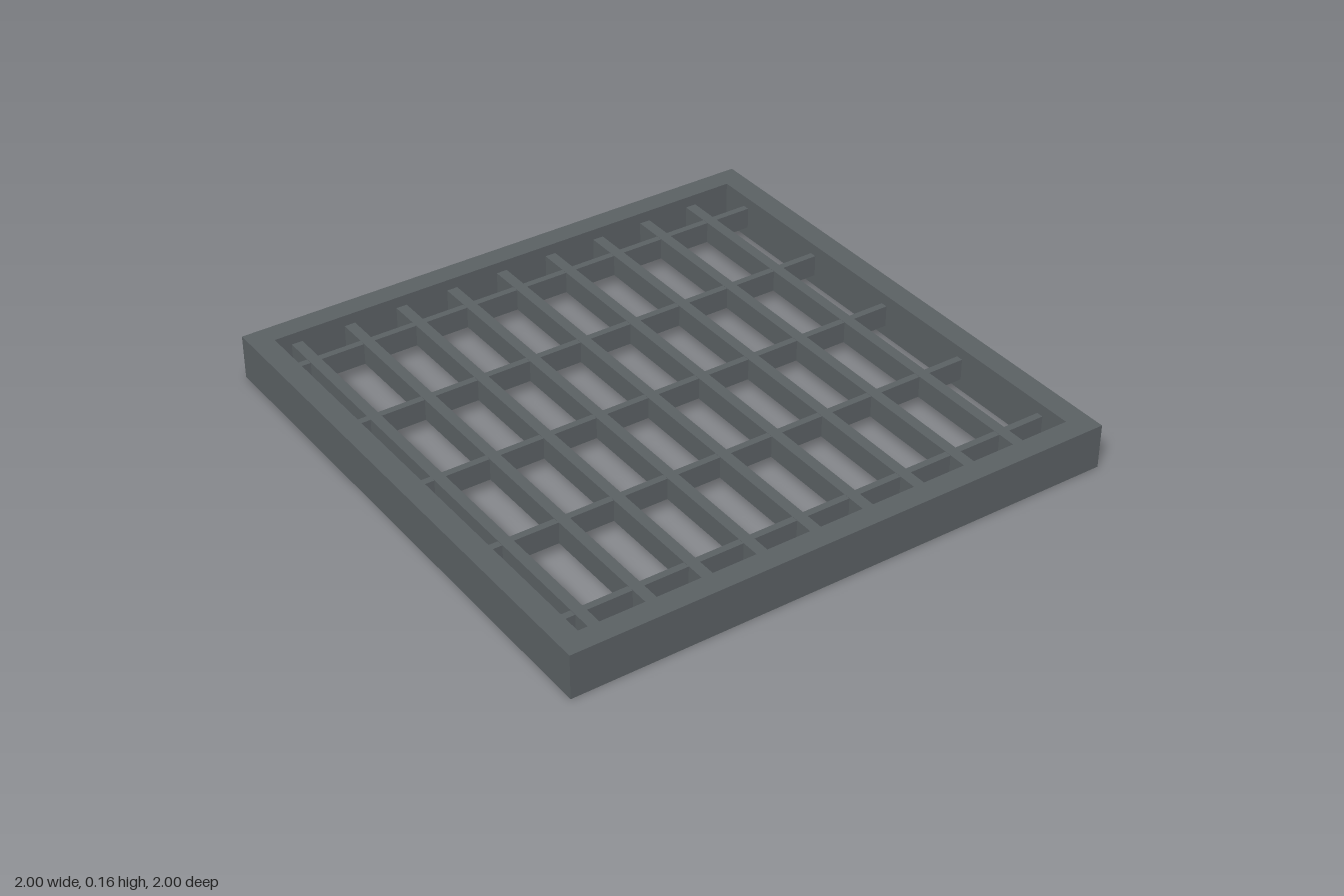
import * as THREE from 'three';

export function createModel() {
  const group = new THREE.Group();
  group.name = 'floorGrate';
  const steel = new THREE.MeshStandardMaterial({ color: 0x5a6063 });
  steel.name = 'dark steel';

  const height = 0.16, rim = 0.08, inner = 1 - rim;

  // Square outer frame with an open middle
  const outline = new THREE.Shape([[-1, -1], [1, -1], [1, 1], [-1, 1]].map(([x, y]) => new THREE.Vector2(x, y)));
  outline.holes.push(new THREE.Path(
    [[-1, -1], [-1, 1], [1, 1], [1, -1]].map(([x, y]) => new THREE.Vector2(x * inner, y * inner))));
  const frameGeo = new THREE.ExtrudeGeometry(outline, { depth: height, bevelEnabled: false });
  frameGeo.rotateX(-Math.PI / 2);
  const frame = new THREE.Mesh(frameGeo, steel);
  frame.name = 'frame';
  group.add(frame);

  const addBar = (name, w, h, d, x, z) => {
    const bar = new THREE.Mesh(new THREE.BoxGeometry(w, h, d), steel);
    bar.name = name;
    bar.position.set(x, height / 2, z);
    group.add(bar);
  };

  // Bearing bars from front to back, recessed below the rim
  for (let i = 0; i < 9; i++) addBar('bearingBar', 0.04, 0.08, 2 * inner, -0.84 + 0.2 * i, 0);

  // Thinner cross bars from side to side
  for (let i = 0; i < 5; i++) addBar('crossBar', 2 * inner, 0.078, 0.025, 0, -0.8 + 0.4 * i);

  return group;
}
